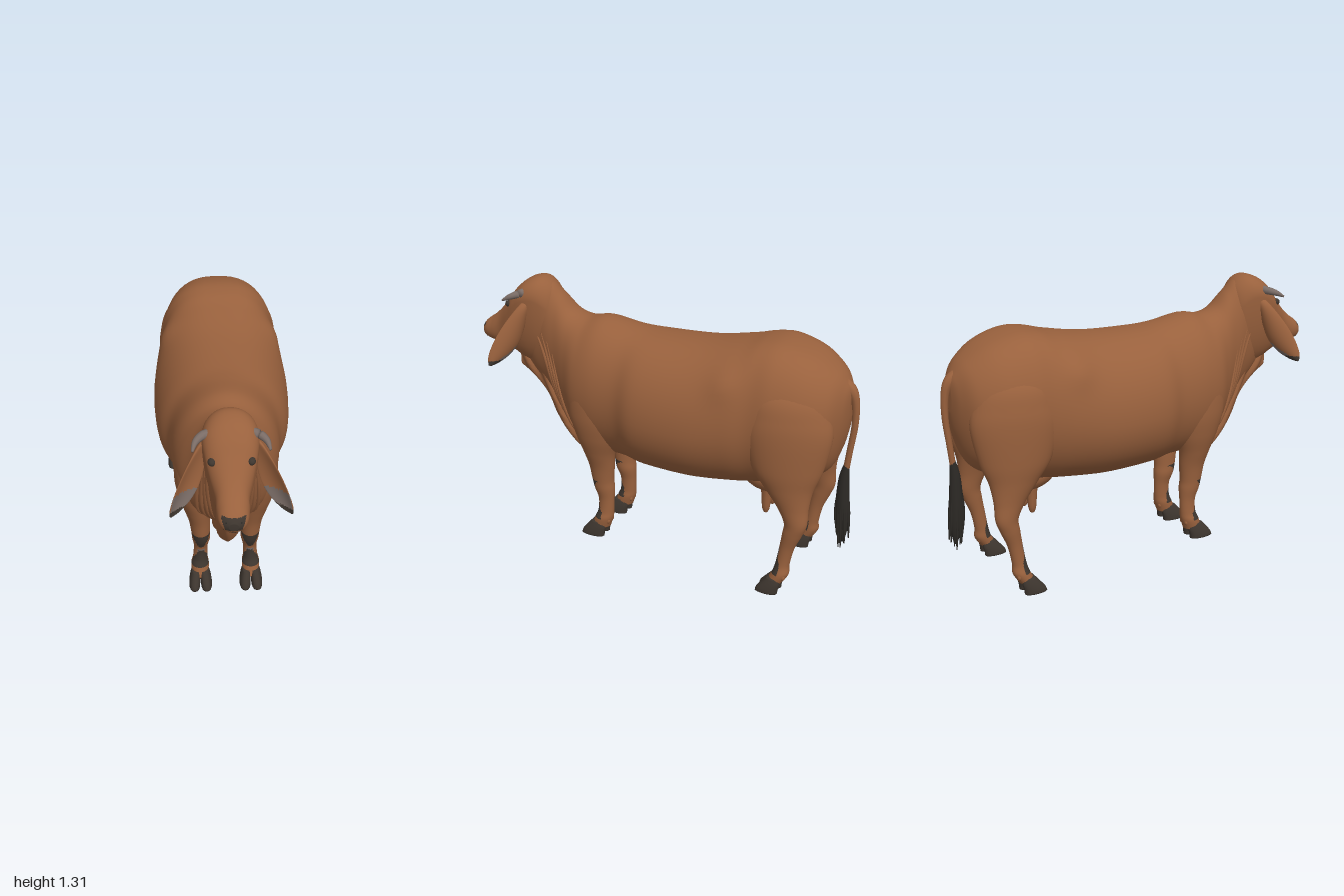
import * as THREE from 'three';

const mat = (name, color) => Object.assign(new THREE.MeshStandardMaterial({ color }), { name });
const hide = mat('brown hide', 0x99613d);
const dark = mat('dark hoof and nose', 0x3e362f);
const grey = mat('grey horn and inner ear', 0x7a6c66);
const black = mat('black tail hair', 0x2c2925);
const palette = [hide, dark, grey];
const V = (x, y, z) => new THREE.Vector3(x, y, z);
const spow = (v, p) => Math.sign(v) * Math.abs(v) ** p;

// Smooth interpolation of a station table at a fractional row
function sample(st, t) {
  const i = Math.min(Math.floor(t), st.length - 2), f = t - i;
  const row = k => st[Math.max(0, Math.min(st.length - 1, k))];
  const [a, b, c, d] = [row(i - 1), row(i), row(i + 1), row(i + 2)];
  return b.map((_, k) => b[k] + 0.5 * f * (c[k] - a[k] + f * (2 * a[k] - 5 * b[k] + 4 * c[k] - d[k]
    + f * (3 * (b[k] - c[k]) + d[k] - a[k]))));
}

// Closed skin over rings of points; paint(centre) gives a palette index
function skin(name, rings, material, paint) {
  const n = rings[0].length, m = rings.length, pts = rings.flat();
  const mean = r => r.reduce((s, p) => s.add(p), V(0, 0, 0)).divideScalar(n);
  pts.push(mean(rings[0]), mean(rings[m - 1]));
  const tris = [];
  for (let j = 0; j < n; j++) {
    const k = (j + 1) % n;
    for (let i = 0; i < m - 1; i++) {
      const a = i * n + j, b = i * n + k;
      tris.push([a, b, b + n], [a, b + n, a + n]);
    }
    tris.push([m * n, k, j], [m * n + 1, (m - 1) * n + j, (m - 1) * n + k]);
  }
  // turn the faces outward
  const vol = tris.reduce((s, [a, b, c]) => s + pts[a].dot(V(0, 0, 0).crossVectors(pts[b], pts[c])), 0);
  if (vol < 0) tris.forEach(t => t.reverse());
  const geo = new THREE.BufferGeometry().setFromPoints(pts);
  const bins = [[], [], []];
  for (const t of tris) {
    const c = V(0, 0, 0).add(pts[t[0]]).add(pts[t[1]]).add(pts[t[2]]).divideScalar(3);
    bins[paint ? paint(c) : 0].push(...t);
  }
  geo.setIndex(bins.flat());
  if (paint) {
    let start = 0;
    bins.forEach((b, i) => { if (b.length) geo.addGroup(start, b.length, i); start += b.length; });
  }
  geo.computeVertexNormals();
  const mesh = new THREE.Mesh(geo, paint ? palette : material);
  mesh.name = name;
  return mesh;
}

// Rings from a station table and a point rule
function rings(st, per, n, rule) {
  const out = [], total = (st.length - 1) * per;
  for (let i = 0; i <= total; i++) {
    const s = sample(st, i / per);
    out.push(Array.from({ length: n }, (_, j) => rule(s, j / n * Math.PI * 2)));
  }
  return out;
}

// Tapered tube through rows of x, y, z, radius
function taper(name, st, material, n = 10, per = 5) {
  const out = [], total = (st.length - 1) * per;
  for (let i = 0; i <= total; i++) {
    const t = i / per, [x, y, z, r] = sample(st, t);
    const p = sample(st, Math.max(0, t - 0.05)), q = sample(st, Math.min(st.length - 1, t + 0.05));
    const dir = V(q[0] - p[0], q[1] - p[1], q[2] - p[2]).normalize();
    const u = V(0, 0, 0).crossVectors(dir, Math.abs(dir.x) > 0.8 ? V(0, 0, 1) : V(1, 0, 0)).normalize();
    const v = V(0, 0, 0).crossVectors(dir, u);
    out.push(Array.from({ length: n }, (_, j) => {
      const a = j / n * Math.PI * 2;
      return V(x, y, z).addScaledVector(u, r * Math.cos(a)).addScaledVector(v, r * Math.sin(a));
    }));
  }
  return skin(name, out, material);
}

function ball(name, material, x, y, z, rx, ry, rz) {
  const m = new THREE.Mesh(new THREE.SphereGeometry(1, 20, 14), material);
  m.name = name;
  m.position.set(x, y, z);
  m.scale.set(rx, ry, rz);
  return m;
}

// Trunk and head rows: z, top, middle, bottom, half width, upper and lower roundness
const trunk = [
  [-.958, 1.0, .93, .86, .03, 1, 1], [-.94, 1.035, .9, .74, .1, .9, 1], [-.89, 1.095, .88, .6, .195, .85, 1],
  [-.79, 1.16, .87, .53, .262, .75, 1], [-.66, 1.197, .86, .49, .294, .7, .9], [-.56, 1.193, .83, .475, .3, .7, .9],
  [-.45, 1.165, .8, .46, .322, .78, .9], [-.25, 1.13, .76, .442, .338, .88, .9], [0, 1.12, .76, .442, .318, .9, .9],
  [.13, 1.13, .78, .45, .268, .95, .9], [.28, 1.155, .8, .455, .25, 1, .9], [.38, 1.142, .8, .48, .222, 1, 1],
  [.46, 1.165, .84, .53, .165, .9, 1.1], [.53, 1.235, .92, .6, .122, .9, 1.2], [.6, 1.29, 1.02, .7, .1, .9, 1.2],
  [.68, 1.25, 1.03, .78, .08, 1, 1.2], [.74, 1.18, 1.03, .84, .045, 1, 1]];
const head = [
  [.535, 1.2, 1.1, 1.0, .03, 1, 1], [.57, 1.27, 1.15, .89, .085, .9, 1], [.63, 1.31, 1.2, .85, .112, .9, 1],
  [.7, 1.296, 1.2, .845, .12, .85, 1], [.76, 1.25, 1.16, .862, .11, .8, .95], [.81, 1.19, 1.1, .888, .093, .8, .95],
  [.87, 1.12, 1.04, .912, .072, .8, .9], [.92, 1.073, 1.0, .925, .069, .85, .8], [.96, 1.045, .99, .935, .062, .85, .8],
  [.985, 1.022, .985, .945, .046, .85, .9], [.999, 1.0, .983, .965, .02, 1, 1]];
const oval = ([z, top, mid, bot, w, pt, pb], a) => {
  const c = Math.cos(a), up = c > 0;
  return V(w * spow(Math.sin(a), up ? pt : pb), mid + c * (up ? top - mid : mid - bot), z);
};
// Trunk skin swells a little over the hip bones
const barrel = (s, a) => {
  const p = oval(s, a);
  p.x *= 1 + .07 * Math.exp(-(((p.z + .43) / .07) ** 2) - ((p.y - 1.04) / .07) ** 2);
  return p;
};

// Leg rows: y, x, z, half width, half depth, and how far the front leans outward
const foreLeg = [
  [.95, .14, .3, .03, .05], [.85, .163, .29, .07, .115], [.7, .17, .28, .075, .132], [.58, .16, .275, .07, .11],
  [.48, .14, .272, .063, .083], [.4, .128, .265, .053, .068], [.32, .123, .262, .047, .058], [.27, .121, .255, .045, .054],
  [.21, .123, .245, .035, .042], [.14, .126, .247, .036, .042], [.1, .128, .257, .044, .048], [.05, .128, .275, .042, .05]];
const hindLeg = [
  [1.1, .16, -.7, .03, .07, .02], [1.0, .18, -.715, .088, .155, .035], [.9, .193, -.73, .1, .182, .042],
  [.8, .2, -.735, .1, .19, .042], [.65, .205, -.738, .088, .16, .03], [.55, .208, -.752, .07, .112, .015],
  [.46, .213, -.777, .052, .075, .005], [.38, .218, -.797, .043, .055, 0], [.32, .219, -.785, .038, .047, 0],
  [.24, .218, -.763, .031, .036, 0], [.15, .22, -.747, .032, .034, 0], [.1, .226, -.74, .041, .041, 0],
  [.05, .23, -.712, .042, .04, 0]];

function leg(name, st, side, fore) {
  const g = new THREE.Group();
  g.name = name;
  // Dark patches on the knee and the front of the shin
  const paint = c => {
    const off = Math.abs(Math.abs(c.x) - (fore ? .122 : .22));
    if (c.z < (fore ? .257 : -.745 + Math.max(0, .2 - c.y) * .12)) return 0;
    if (c.y > .1 && c.y < .2 && off < .012 + (.2 - c.y) * .45) return 1;
    if (fore && c.y > .23 && c.y < .32 && off < .012 + (c.y - .23) * .4) return 1;
    return c.y > .175 && c.y < (fore ? .21 : .245) && off < .018 ? 2 : 0;
  };
  g.add(skin('limb', rings(st, 10, 36, ([y, x, z, rx, rz, lean = 0], a) =>
    V(side * (x + rx * Math.cos(a) + lean * Math.sin(a)), y, z + rz * Math.sin(a))), hide, paint));
  // Cloven hoof and dew claws
  const [, x, z] = st[st.length - 1], zc = z + (fore ? .035 : .027), deep = fore ? .064 : .056;
  for (const t of [-1, 1]) {
    const toe = [[0, .03, zc, .028, deep], [.02, .029, zc - .005, .028, deep - .003], [.05, .025, zc - .02, .026, deep - .012],
      [.078, .02, zc - .03, .022, deep - .026]];
    g.add(skin('hoof toe', rings(toe, 3, 16, ([y, dx, cz, rx, rz], a) =>
      V(side * x + t * dx + rx * spow(Math.cos(a), .8), y, cz + rz * Math.sin(a))), dark));
    g.add(ball('dew claw', hide, side * x + t * .02, .09, z - .048, .011, .017, .012));
  }
  return g;
}

function ear(side) {
  const D = V(.43, -.83, .36), W = V(.62, .5, .5).normalize();
  const N = V(0, 0, 0).crossVectors(D, W).normalize();
  const st = [[.09, 1.2, .675, .015, .012], [.118, 1.16, .69, .03, .014], [.148, 1.09, .715, .05, .011],
    [.178, 1.02, .742, .061, .009], [.21, .96, .772, .054, .008], [.24, .915, .8, .032, .007], [.258, .89, .815, .006, .004]];
  // Grey inside the lower half, dark at the tip
  const paint = c => {
    if (c.y < .914) return 1;
    const p = c.clone().setX(Math.abs(c.x)).sub(V(.178, 1.02, .742));
    const along = p.dot(D), across = p.dot(W);
    const [x, y, z, w] = sample(st, Math.min(5.9, Math.max(0, 3 + along / .075)));
    const depth = c.clone().setX(Math.abs(c.x)).sub(V(x, y, z)).dot(N);
    const face = w * .3 * ((across / w) ** 2 - .5);
    return along > .045 + across * .5 && depth > face - .004 ? 2 : 0;
  };
  return skin('ear', rings(st, 7, 28, ([x, y, z, w, th], a) => {
    const c = Math.cos(a);
    const p = V(x, y, z).addScaledVector(W, w * c).addScaledVector(N, th * Math.sin(a) + w * .3 * (c * c - .5));
    return p.setX(side * p.x);
  }), hide, paint);
}

export function createModel() {
  const cow = new THREE.Group();
  cow.name = 'cow';
  cow.add(skin('trunk and neck', rings(trunk, 7, 56, barrel), hide));
  cow.add(skin('head', rings(head, 8, 40, oval), hide,
    c => c.z > .966 && c.y > .963 && c.y < 1.022 && Math.abs(c.x) < .036 + (c.y - .965) * .3 ? 1 : 0));

  // Hanging dewlap, gently pleated: z, top, bottom, half width
  const dewlap = [[.2, .54, .465, .02], [.28, .56, .43, .05], [.36, .6, .405, .055], [.42, .66, .395, .055], [.48, .72, .44, .05],
    [.535, .78, .485, .047], [.585, .84, .565, .045], [.63, .9, .665, .042], [.69, .94, .745, .037], [.75, .95, .785, .03], [.79, .93, .81, .014]];
  cow.add(skin('dewlap', rings(dewlap, 6, 28, ([z, top, bot, w], a) => {
    const y = (top + bot) / 2 + (top - bot) / 2 * Math.cos(a);
    const pleat = 1 + .3 * Math.sin((z - y * .45) * 75);
    return V(w * Math.sin(a) * pleat, y, z);
  }), hide));
  cow.add(skin('mouth', rings([[-.043, .952, .968, .003], [0, .947, .985, .004], [.043, .952, .968, .003]], 5, 8,
    ([x, y, z, r], a) => V(x, y + r * Math.cos(a), z + r * Math.sin(a))), dark));

  for (const s of [1, -1]) {
    const sideName = s > 0 ? 'left' : 'right';
    cow.add(leg(sideName + ' foreleg', foreLeg, s, true), leg(sideName + ' hind leg', hindLeg, s, false));
    cow.add(ear(s));
    cow.add(ball('eye', dark, s * .081, 1.163, .796, .018, .017, .02));
    cow.add(ball('nostril', black, s * .026, .998, .986, .011, .009, .007));
    cow.add(taper('horn', [[s * .09, 1.238, .7, .022], [s * .122, 1.236, .715, .019], [s * .148, 1.226, .745, .014],
      [s * .16, 1.207, .782, .005]], grey));
    // Loose skin folds down the neck
    for (let k = 0; k < 4; k++) {
      const path = Array.from({ length: 7 }, (_, i) => {
        const f = i / 6;
        const p = oval(sample(trunk, 14.6 - .5 * k - 2.2 * f), 1.5 + 1.15 * f);
        return [s * p.x, p.y, p.z, .002 + .009 * Math.sin(Math.PI * f)];
      });
      cow.add(taper('neck fold', path, hide, 8));
    }
    // Teats
    for (const [z, y] of [[-.59, .3], [-.69, .32]])
      cow.add(taper('teat', [[s * .045, .47, z, .036], [s * .045, .41, z, .027], [s * .045, y + .03, z, .02],
        [s * .045, y, z, .01]], hide));
  }
  cow.add(ball('udder', hide, 0, .49, -.61, .11, .085, .16));

  // Tail with a brush of hair
  cow.add(taper('tail', [[0, 1.03, -.89, .035], [0, 1.0, -.945, .03], [0, .94, -.974, .02], [0, .83, -.98, .016],
    [0, .7, -.967, .015], [0, .58, -.955, .015]], hide));
  cow.add(taper('tail brush', [[0, .62, -.958, .014], [0, .54, -.95, .026], [0, .4, -.953, .034], [0, .29, -.96, .028],
    [0, .21, -.967, .008]], black));
  for (let i = 0; i < 10; i++) {
    const a = i * 2.4, c = Math.cos(a), d = Math.sin(a);
    cow.add(taper('tail strand', [[c * .012, .52, -.95 + d * .014, .009], [c * .025, .37, -.953 + d * .031, .01],
      [c * .022, .185 + (i % 4) * .025, -.965 + d * .031, .003]], black, 6));
  }
  return cow;
}
